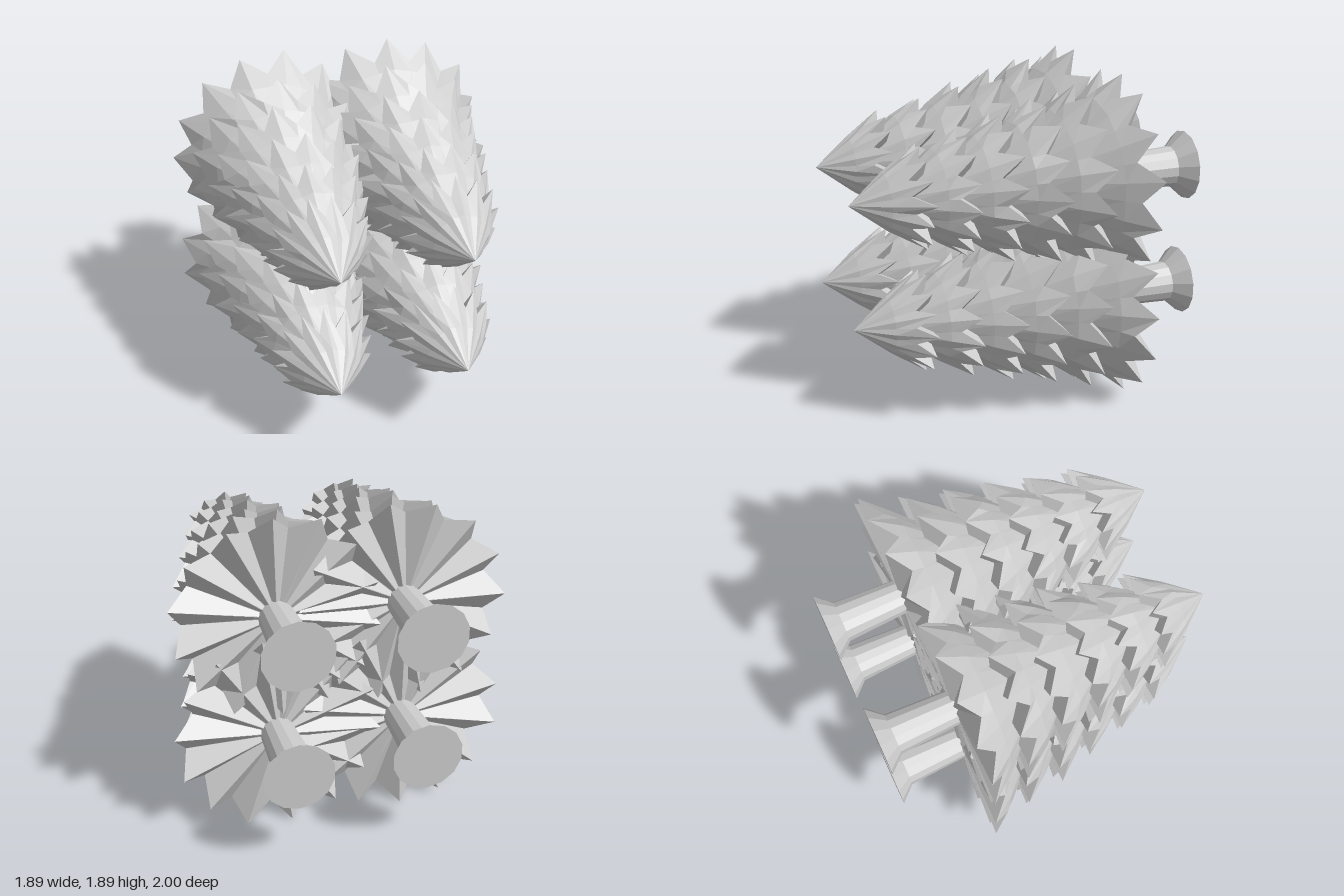
import * as THREE from 'three';

const POINTS = 14; // leaf points around each tier
const STEP = Math.PI / POINTS;

// Small seeded generator for the uneven points, returning -1..1
function seeded(seed) {
  let s = seed;
  return () => {
    s = (s * 16807) % 2147483647;
    return (s / 2147483647) * 2 - 1;
  };
}

// Loft closed rings of points, listed from the tip (+z) towards the base
function loft(rings) {
  const pos = [];
  const n = rings[0].length;
  for (let i = 0; i < rings.length - 1; i++) {
    for (let j = 0; j < n; j++) {
      const k = (j + 1) % n;
      const a = rings[i][j], b = rings[i + 1][j], c = rings[i + 1][k], d = rings[i][k];
      pos.push(...a, ...b, ...c, ...a, ...c, ...d);
    }
  }
  const g = new THREE.BufferGeometry();
  g.setAttribute('position', new THREE.Float32BufferAttribute(pos, 3));
  g.computeVertexNormals();
  return g;
}

// One jagged skirt: cone above, zigzag rim, folded underside
function tierGeometry(topZ, topR, rimZ, rimR, turn, rand) {
  const slope = (rimR - topR) / (topZ - rimZ);
  const rings = [[], [], [], []];
  for (let j = 0; j < POINTS * 2; j++) {
    const isTip = j % 2 === 0;
    const a = turn + j * STEP + rand() * 0.02;
    const at = (r, z) => [Math.cos(a) * r, Math.sin(a) * r, z];
    const rise = isTip ? 0 : 0.1;
    const r = rimR * (1 + rand() * 0.025) - rise * slope;
    const midZ = THREE.MathUtils.lerp(topZ, rimZ, 0.5);
    const midR = THREE.MathUtils.lerp(topR, rimR, 0.5) + (isTip ? 0.015 : 0.005);
    rings[0].push(at(topR, topZ));
    rings[1].push(at(midR, midZ));
    rings[2].push(at(r, rimZ + rise + rand() * 0.012));
    rings[3].push(at(0.02, rimZ + 0.015));
  }
  return loft(rings);
}

export function createModel() {
  const model = new THREE.Group();
  model.name = 'fourTrees';
  const grey = new THREE.MeshStandardMaterial({ color: 0xcccccc, flatShading: true });
  grey.name = 'plainGrey';

  // Tiers from the tip to the base: top z, top radius, rim z, rim radius
  const tiers = [
    [1.0, 0.0, 0.6, 0.29],
    [0.68, 0.14, 0.36, 0.35],
    [0.45, 0.18, 0.13, 0.41],
    [0.22, 0.22, -0.1, 0.47],
    [-0.01, 0.25, -0.33, 0.53],
    [-0.24, 0.29, -0.57, 0.59],
  ];

  // Trunk with a flared foot, turned to lie along z
  const trunkGeometry = new THREE.LatheGeometry([
    new THREE.Vector2(0, -1), new THREE.Vector2(0.2, -1), new THREE.Vector2(0.118, -0.91),
    new THREE.Vector2(0.097, -0.5), new THREE.Vector2(0, -0.5),
  ], 14);
  trunkGeometry.rotateX(Math.PI / 2);

  // Four trees: x, y, turn of the widest tier in degrees
  const trees = [
    ['upperRightTree', -0.36, 1.31, 2.2],
    ['upperLeftTree', 0.36, 1.31, 11],
    ['lowerRightTree', -0.36, 0.59, 13.2],
    ['lowerLeftTree', 0.36, 0.59, 5],
  ];
  trees.forEach(([name, x, y, degrees], t) => {
    const rand = seeded(4711 + t * 977);
    const tree = new THREE.Group();
    tree.name = name;
    tree.position.set(x, y, 0);
    tiers.forEach((tier, i) => {
      const turn = THREE.MathUtils.degToRad(degrees) + (5 - i) * 0.17;
      const mesh = new THREE.Mesh(tierGeometry(...tier, turn, rand), grey);
      mesh.name = 'leafTier' + (i + 1);
      tree.add(mesh);
    });
    const trunk = new THREE.Mesh(trunkGeometry, grey);
    trunk.name = 'trunk';
    tree.add(trunk);
    model.add(tree);
  });
  return model;
}
